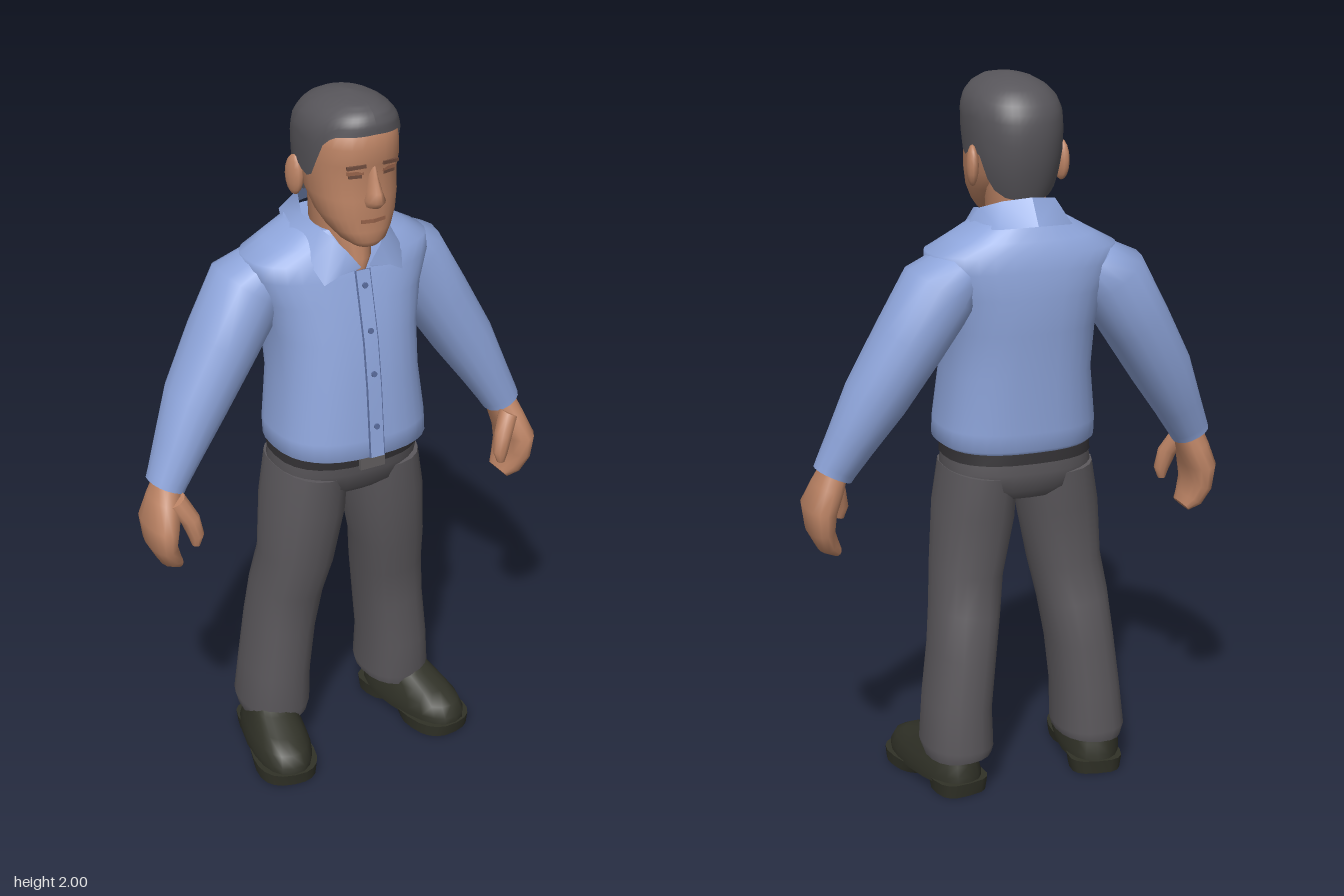
import * as THREE from 'three';

const mat = (name, color, side = THREE.FrontSide) => {
  const m = new THREE.MeshStandardMaterial({ color, side });
  m.name = name;
  return m;
};

// Loft through sections [x, y, z, half width, half depth]; rings tilt with the path in the xy plane.
function loft(sections, n = 2, segs = 24) {
  const pos = [], idx = [], p = 2 / n;
  const pw = (v) => Math.sign(v) * Math.abs(v) ** p;
  const ring = (i) => {
    const [x, y, z, w, d] = sections[i];
    const a = sections[Math.max(i - 1, 0)], b = sections[Math.min(i + 1, sections.length - 1)];
    const l = Math.hypot(b[0] - a[0], b[1] - a[1]);
    const ux = (b[1] - a[1]) / l, uy = -(b[0] - a[0]) / l;
    const start = pos.length / 3;
    for (let k = 0; k < segs; k++) {
      const t = (k / segs) * Math.PI * 2, u = pw(Math.sin(t)) * w;
      pos.push(x + ux * u, y + uy * u, z + pw(Math.cos(t)) * d);
    }
    return start;
  };
  const last = sections.length - 1;
  for (let i = 0; i <= last; i++) ring(i);
  for (let i = 0; i < last; i++) for (let k = 0; k < segs; k++) {
    const a = i * segs + k, b = i * segs + (k + 1) % segs;
    idx.push(a, b, b + segs, a, b + segs, a + segs);
  }
  // Flat end caps with their own vertices
  for (const [i, top] of [[0, false], [last, true]]) {
    const s = ring(i), c = pos.length / 3;
    pos.push(...sections[i].slice(0, 3));
    for (let k = 0; k < segs; k++) {
      const a = s + k, b = s + (k + 1) % segs;
      top ? idx.push(a, b, c) : idx.push(b, a, c);
    }
  }
  return build(pos, idx);
}

function build(pos, idx) {
  const g = new THREE.BufferGeometry();
  g.setAttribute('position', new THREE.Float32BufferAttribute(pos, 3));
  g.setIndex(idx);
  g.computeVertexNormals();
  return g;
}

// Upright section [y, half width, front z, back z] at x
const up = (rows, x = 0) => rows.map(([y, w, f, b]) => [x, y, (f + b) / 2, w, (f - b) / 2]);

// Grid surface from rows of points
function sheet(rows) {
  const n = rows[0].length, idx = [];
  for (let i = 0; i < rows.length - 1; i++) for (let k = 0; k < n - 1; k++) {
    const a = i * n + k;
    idx.push(a, a + 1, a + n + 1, a, a + n + 1, a + n);
  }
  return build(rows.flat(2), idx);
}

function mirrored(geo) {
  const g = geo.clone().scale(-1, 1, 1);
  const ix = g.index.array;
  for (let i = 0; i < ix.length; i += 3) [ix[i], ix[i + 1]] = [ix[i + 1], ix[i]];
  g.computeVertexNormals();
  return g;
}

export function createModel() {
  const root = new THREE.Group();
  root.name = 'standingMan';
  const shirt = mat('shirtBlue', 0x8fa6dc, THREE.DoubleSide), seam = mat('seamBlue', 0x5a6c9c, THREE.DoubleSide);
  const skin = mat('skin', 0xbd8465), shade = mat('skinShade', 0x98644b), brow = mat('browBrown', 0x6f4c3d);
  const hairMat = mat('hairGrey', 0x57555a, THREE.DoubleSide), trouser = mat('trouserGrey', 0x5b585c);
  const shoeMat = mat('shoeDark', 0x303127), beltMat = mat('beltDark', 0x343235), metal = mat('buckleGrey', 0x625f60);

  const add = (name, geo, m) => {
    const mesh = new THREE.Mesh(geo, m);
    mesh.name = name;
    root.add(mesh);
    return mesh;
  };
  const pair = (name, geo, m) => {
    add(name + 'Left', geo, m);
    add(name + 'Right', mirrored(geo), m);
  };

  // Shirt body
  add('shirtBody', loft(up([
    [0.985, 0.2, 0.17, -0.165], [1.0, 0.222, 0.195, -0.18], [1.05, 0.222, 0.19, -0.185],
    [1.2, 0.205, 0.175, -0.19], [1.33, 0.21, 0.155, -0.205], [1.43, 0.235, 0.13, -0.212],
    [1.5, 0.265, 0.11, -0.207], [1.545, 0.265, 0.095, -0.2], [1.58, 0.2, 0.075, -0.185],
    [1.62, 0.13, 0.05, -0.165]]), 2.5, 32), shirt);

  // Button placket with seam edges
  const front = [[1.0, 0.195], [1.05, 0.19], [1.2, 0.175], [1.33, 0.155], [1.43, 0.13], [1.52, 0.107]];
  const strip = (w, off) => sheet(front.map(([y, z]) => [[-w, y, z + off], [w, y, z + off]]));
  add('placketSeam', strip(0.024, 0.003), seam);
  add('placket', strip(0.02, 0.006), shirt);
  [[1.09, 0.186], [1.24, 0.169], [1.36, 0.149], [1.48, 0.117]].forEach(([y, z], i) => {
    const b = add('button' + i, new THREE.CylinderGeometry(0.008, 0.008, 0.006, 10), seam);
    b.rotation.x = Math.PI / 2 - 0.12;
    b.position.set(0, y, z + 0.009);
  });

  // Collar: top edge folded down to points at the front
  pair('collar', sheet([
    [[0.012, 1.535, 0.125], [0.02, 1.53, 0.125]],
    [[0.05, 1.585, 0.118], [0.075, 1.525, 0.128]],
    [[0.075, 1.615, 0.09], [0.118, 1.5, 0.118]],
    [[0.095, 1.635, 0.05], [0.138, 1.55, 0.075]],
    [[0.107, 1.65, -0.03], [0.152, 1.6, -0.04]],
    [[0.075, 1.68, -0.115], [0.105, 1.615, -0.165]],
    [[0, 1.69, -0.14], [0, 1.62, -0.187]]]), shirt);

  // Sleeves
  pair('sleeve', loft([
    [0.19, 1.5, -0.075, 0.07, 0.1], [0.245, 1.45, -0.085, 0.103, 0.118], [0.33, 1.31, -0.075, 0.095, 0.115],
    [0.42, 1.16, -0.06, 0.085, 0.1], [0.485, 1.04, -0.04, 0.066, 0.078], [0.525, 0.965, -0.027, 0.056, 0.062],
    [0.533, 0.948, -0.025, 0.054, 0.06]], 2.2, 16), shirt);

  // Hands: curled mitten shape and thumb
  pair('hand', loft([
    [0.525, 0.965, -0.02, 0.038, 0.045], [0.545, 0.91, -0.012, 0.043, 0.065], [0.567, 0.85, 0, 0.043, 0.09],
    [0.565, 0.79, 0, 0.035, 0.082], [0.545, 0.745, 0, 0.03, 0.064], [0.522, 0.724, 0, 0.016, 0.045]], 2.3, 14), skin);
  pair('thumb', loft([
    [0.53, 0.925, 0.03, 0.03, 0.03], [0.499, 0.87, 0.055, 0.027, 0.027],
    [0.486, 0.82, 0.063, 0.022, 0.022], [0.488, 0.79, 0.064, 0.011, 0.012]], 2, 10), skin);

  // Trousers
  add('trouserSeat', loft(up([
    [0.85, 0.13, 0.1, -0.13], [0.88, 0.2, 0.135, -0.16], [0.93, 0.21, 0.15, -0.17],
    [0.99, 0.203, 0.158, -0.165]]), 2.5, 28), trouser);
  pair('trouserLeg', loft([
    [0.198, 0.105, -0.068, 0.092, 0.118], [0.2, 0.135, -0.068, 0.1, 0.125], [0.195, 0.25, -0.06, 0.094, 0.122],
    [0.178, 0.4, -0.055, 0.093, 0.12], [0.163, 0.52, -0.04, 0.097, 0.117], [0.147, 0.63, -0.012, 0.1, 0.12],
    [0.125, 0.8, -0.01, 0.11, 0.14], [0.112, 0.92, -0.01, 0.1, 0.15]], 2.3, 20), trouser);

  // Belt and buckle
  add('belt', loft(up([[0.96, 0.209, 0.162, -0.174], [0.99, 0.207, 0.166, -0.172]]), 2.5, 28), beltMat);
  add('buckle', new THREE.BoxGeometry(0.075, 0.04, 0.012), metal).position.set(0, 0.973, 0.168);

  // Shoes, turned slightly outward
  const turn = (g) => g.rotateY(0.19).translate(0.232, 0, 0.015);
  pair('shoeUpper', turn(loft(up([
    [0.03, 0.086, 0.195, -0.19], [0.055, 0.088, 0.195, -0.188], [0.085, 0.08, 0.175, -0.18],
    [0.11, 0.07, 0.125, -0.172], [0.135, 0.062, 0.05, -0.165], [0.16, 0.055, 0.01, -0.15]]), 2.4, 20)), shoeMat);
  pair('shoeSole', turn(loft(up([[0, 0.086, 0.194, 0], [0.036, 0.091, 0.2, -0.03]]), 2.5, 20)), shoeMat);
  pair('shoeHeel', turn(loft(up([[0, 0.072, -0.06, -0.19], [0.04, 0.078, -0.05, -0.195]]), 3, 16)), shoeMat);

  // Neck and face
  add('neck', loft(up([
    [1.5, 0.03, 0.108, -0.08], [1.55, 0.06, 0.113, -0.1], [1.62, 0.076, 0.09, -0.12],
    [1.74, 0.085, 0.08, -0.115]]), 2, 20), skin);
  add('face', loft(up([
    [1.605, 0.035, 0.158, 0.075], [1.622, 0.06, 0.17, 0.04], [1.65, 0.083, 0.17, 0], [1.69, 0.104, 0.168, -0.04],
    [1.74, 0.115, 0.17, -0.09], [1.8, 0.12, 0.163, -0.11], [1.835, 0.123, 0.173, -0.12],
    [1.88, 0.122, 0.174, -0.12], [1.93, 0.115, 0.165, -0.11], [1.965, 0.07, 0.12, -0.07]]), 2.3, 28), skin);
  add('nose', loft(up([
    [1.722, 0.022, 0.192, 0.13], [1.742, 0.028, 0.214, 0.13], [1.765, 0.02, 0.205, 0.13],
    [1.8, 0.014, 0.186, 0.13], [1.835, 0.012, 0.172, 0.13]]), 1.7, 12), skin);
  pair('ear', new THREE.SphereGeometry(1, 12, 8).scale(0.017, 0.056, 0.032)
    .rotateY(-0.25).translate(0.127, 1.765, -0.03), skin);

  // Thin painted face details
  const plate = (w, h, x, y, z, ry, rz) =>
    new THREE.BoxGeometry(w, h, 0.008).rotateZ(rz).rotateY(ry).translate(x, y, z);
  pair('eyebrow', plate(0.052, 0.009, 0.05, 1.836, 0.166, 0.24, -0.08), brow);
  pair('eye', plate(0.036, 0.009, 0.049, 1.808, 0.157, 0.24, 0), brow);
  pair('eyelid', plate(0.044, 0.01, 0.049, 1.817, 0.157, 0.24, 0), shade);
  pair('mouth', plate(0.036, 0.01, 0.017, 1.682, 0.166, 0.12, 0.04), shade);

  // Hair shell: follows the skull down to a hairline that varies around the head
  const at = (table, v) => {
    let i = 1;
    while (i < table.length - 1 && table[i][0] < v) i++;
    const a = table[i - 1], b = table[i];
    const t = THREE.MathUtils.clamp((v - a[0]) / (b[0] - a[0]), 0, 1);
    return a.slice(1).map((q, k) => q + (b[k + 1] - q) * t);
  };
  const hairline = [[0, 1.922], [0.85, 1.915], [1.1, 1.88], [1.25, 1.8], [1.5, 1.78], [1.65, 1.81],
    [1.95, 1.8], [2.15, 1.71], [2.5, 1.685], [3.15, 1.675]];
  const skull = [[1.67, 0.09, 0.12, -0.12], [1.72, 0.112, 0.15, -0.137], [1.79, 0.126, 0.17, -0.152],
    [1.86, 0.13, 0.178, -0.156], [1.91, 0.129, 0.182, -0.147], [1.945, 0.116, 0.18, -0.125],
    [1.97, 0.092, 0.166, -0.094], [1.988, 0.06, 0.135, -0.05], [1.997, 0.025, 0.08, 0], [2, 0, 0.04, 0.04]];
  const rows = [], steps = 14, around = 48;
  for (let i = 0; i <= steps; i++) {
    const row = [];
    for (let k = 0; k <= around; k++) {
      const a = (k / around) * Math.PI * 2;
      const [h] = at(hairline, Math.min(a, Math.PI * 2 - a));
      const y = h + (2 - h) * (1 - (1 - i / steps) ** 1.8);
      const [w, f, b] = at(skull, y);
      const s = Math.sin(a), c = Math.cos(a), e = 2 / 2.2;
      row.push([Math.sign(s) * Math.abs(s) ** e * w, y,
        (f + b) / 2 + Math.sign(c) * Math.abs(c) ** e * (f - b) / 2]);
    }
    rows.push(row);
  }
  add('hair', sheet(rows), hairMat);
  return root;
}
